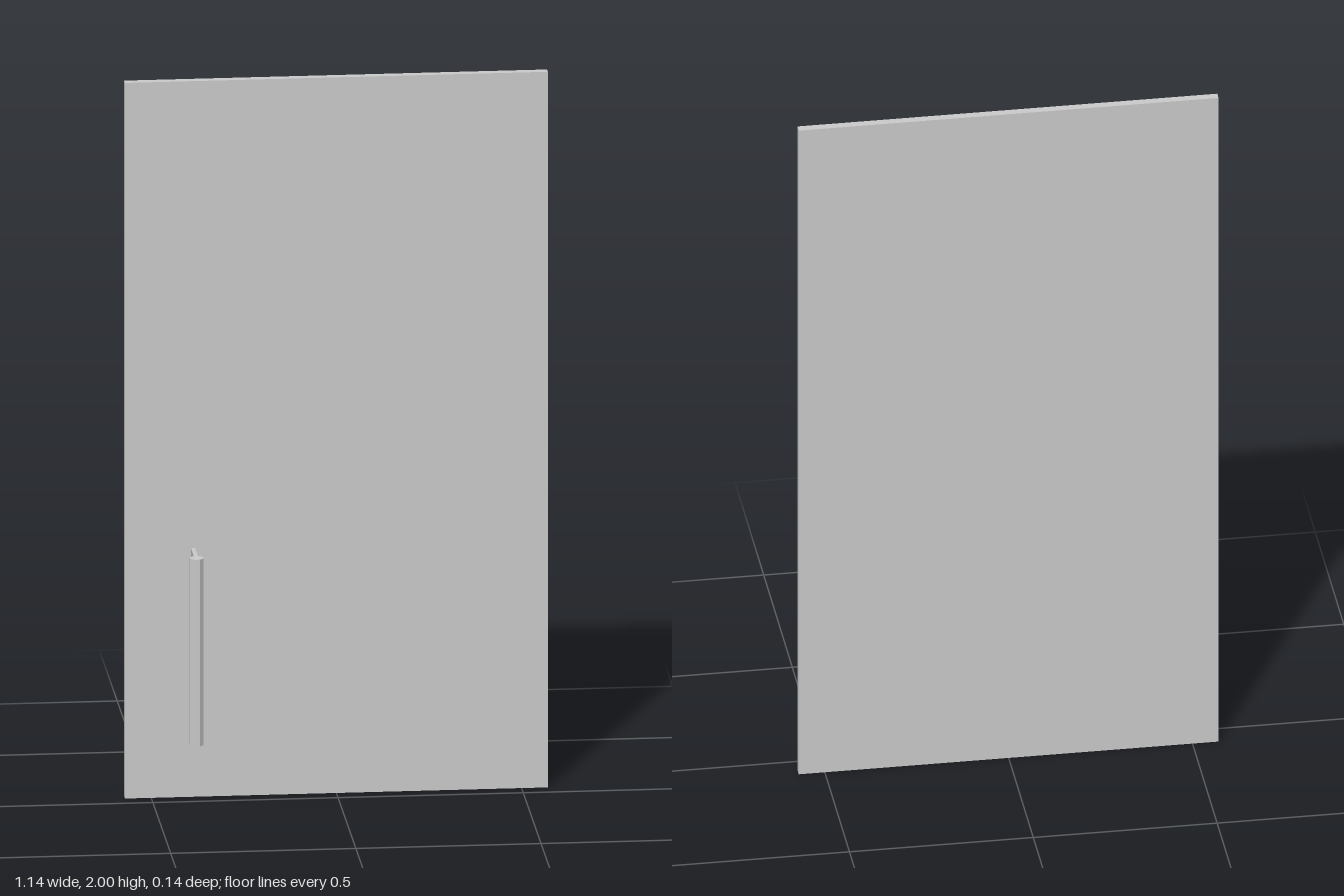
import * as THREE from 'three';

export function createModel() {
  const model = new THREE.Group();
  const material = new THREE.MeshStandardMaterial({ color: 0xcccccc, flatShading: true });
  const add = (name, geometry, x, y, z, parent = model) => {
    const mesh = new THREE.Mesh(geometry, material);
    mesh.name = name;
    mesh.position.set(x, y, z);
    parent.add(mesh);
    return mesh;
  };

  // Flat door panel
  const panelFront = -0.046;
  const panelBack = -0.069;
  add('doorPanel', new THREE.BoxGeometry(1.142, 2, panelFront - panelBack), 0, 1, (panelFront + panelBack) / 2);

  // Pull handle near the lower right corner
  const handle = new THREE.Group();
  handle.name = 'handle';
  handle.position.set(-0.387, 0.434, 0);
  model.add(handle);

  // Octagonal grip with flats facing front and sides
  const length = 0.522;
  const apothem = 0.018;
  const gripZ = 0.051;
  const radius = apothem / Math.cos(Math.PI / 8);
  const grip = new THREE.CylinderGeometry(radius, radius, length, 8).rotateY(Math.PI / 8);
  add('handleGrip', grip, 0, 0, gripZ, handle);

  // Two thin brackets joining the grip to the panel, flush with its ends
  const bracketHeight = 0.04;
  const gripBack = gripZ - apothem;
  for (const side of [-1, 1]) {
    add(side > 0 ? 'upperBracket' : 'lowerBracket',
      new THREE.BoxGeometry(0.011, bracketHeight, gripBack - panelFront),
      0, side * (length - bracketHeight) / 2, (gripBack + panelFront) / 2, handle);
  }

  return model;
}
